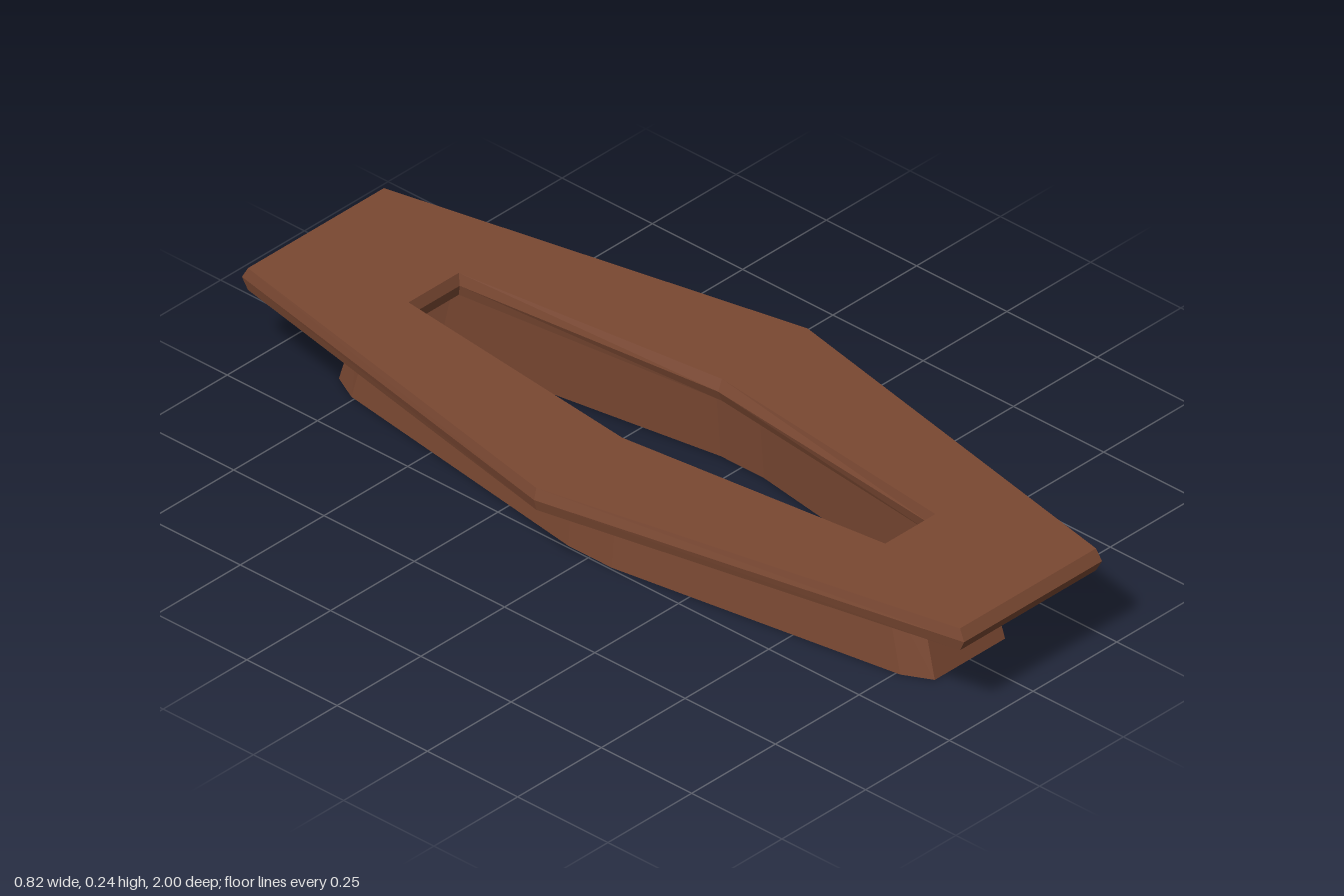
import * as THREE from 'three';

// Mirrors a quarter outline ([x, z] from the end towards the side) into a full loop.
function outline(quarter) {
  const back = [...quarter].reverse();
  const right = [...quarter, ...back.filter(p => p[1] !== 0).map(([x, z]) => [x, -z])];
  return [...right, ...[...right].reverse().map(([x, z]) => [-x, z])];
}

// Joins a closed series of matching loops into a faceted ring.
function ring(sections) {
  const loops = sections.map(([y, quarter]) => outline(quarter).map(([x, z]) => new THREE.Vector3(x, y, z)));
  const pos = [];
  const m = loops.length, n = loops[0].length;
  for (let i = 0; i < m; i++) {
    const a = loops[i], b = loops[(i + 1) % m];
    for (let j = 0; j < n; j++) {
      const k = (j + 1) % n;
      for (const v of [a[j], a[k], b[j], a[k], b[k], b[j]]) pos.push(v.x, v.y, v.z);
    }
  }
  const geo = new THREE.BufferGeometry();
  geo.setAttribute('position', new THREE.Float32BufferAttribute(pos, 3));
  geo.computeVertexNormals();
  return geo;
}

export function createModel() {
  const group = new THREE.Group();
  const wood = new THREE.MeshStandardMaterial({ color: 0x7a4832, flatShading: true });
  wood.name = 'brown wood';

  const add = (name, sections) => {
    const mesh = new THREE.Mesh(ring(sections), wood);
    mesh.name = name;
    group.add(mesh);
  };

  // Flat rim with pointed edges, outside and around the opening
  const rimOuter = [[0.203, 0.986], [0.405, 0]];
  const rimEdge = [[0.206, 1], [0.412, 0]];
  const holeOuter = [[0.075, 0.66], [0.149, 0]];
  const holeEdge = [[0.07, 0.653], [0.138, 0]];
  add('rim', [
    [0.19, rimOuter], [0.217, rimEdge], [0.243, rimOuter],
    [0.243, holeOuter], [0.217, holeEdge], [0.19, holeOuter],
  ]);

  // Thin flared skirt below the rim, with chamfered corners
  add('skirt', [
    [0, [[0.105, 0.825], [0.138, 0.76], [0.245, 0.06]]],
    [0.19, [[0.095, 0.772], [0.13, 0.71], [0.229, 0.06]]],
    [0.19, [[0.075, 0.737], [0.097, 0.695], [0.194, 0.06]]],
    [0, [[0.085, 0.79], [0.105, 0.745], [0.21, 0.06]]],
  ]);
  return group;
}
